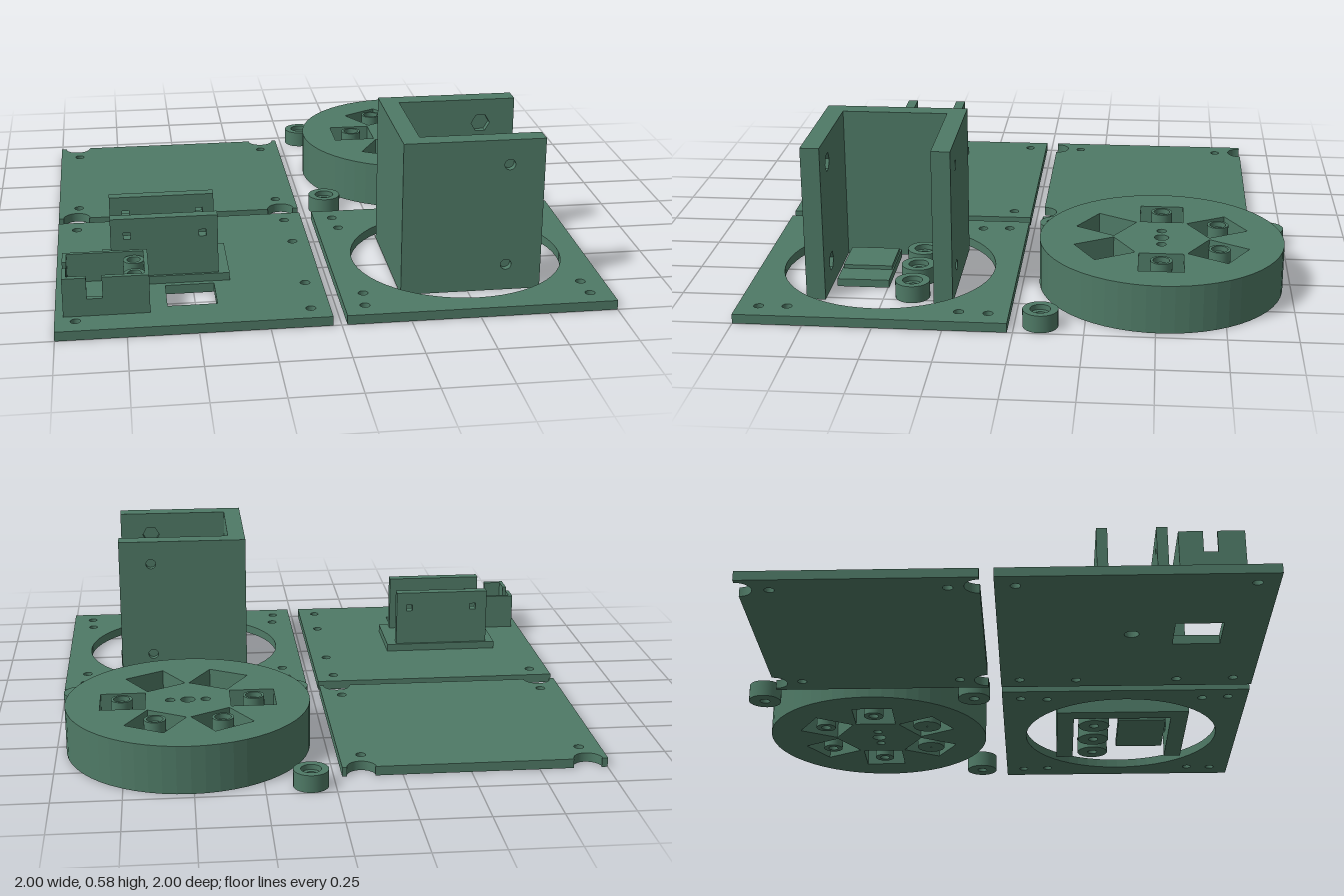
import * as THREE from 'three';

const green = new THREE.MeshStandardMaterial({ color: 0x4f7a66 });
green.name = 'green';

// Closed outlines
const rect = (x0, y0, x1, y1, C = THREE.Shape) => {
  const s = new C();
  s.moveTo(x0, y0); s.lineTo(x1, y0); s.lineTo(x1, y1); s.lineTo(x0, y1); s.closePath();
  return s;
};
const rectHole = (x0, y0, x1, y1) => rect(x0, y0, x1, y1, THREE.Path);
const circle = (x, y, r, C = THREE.Path) => {
  const s = new C();
  s.absarc(x, y, r, 0, Math.PI * 2, false);
  return s;
};
const poly = (pts, C = THREE.Shape) => new C().setFromPoints(pts.map(p => new THREE.Vector2(...p)));
const dots = (list, r) => list.map(([x, z]) => circle(x, z, r));

function extrude(shape, holes, depth) {
  shape.holes.push(...holes);
  return new THREE.ExtrudeGeometry(shape, { depth, bevelEnabled: false, curveSegments: 28 });
}

export function createModel() {
  const model = new THREE.Group();
  const add = (name, geo, parent = model) => {
    const m = new THREE.Mesh(geo, green);
    m.name = name;
    parent.add(m);
    return m;
  };
  const group = name => {
    const g = new THREE.Group();
    g.name = name;
    model.add(g);
    return g;
  };
  // Horizontal slab: outline in (x, z), from y0 up to y1
  const slab = (name, shape, holes, y0, y1, parent) =>
    add(name, extrude(shape, holes, y1 - y0).rotateX(Math.PI / 2).translate(0, y1, 0), parent);
  // Upright panel: outline in (x, y), from z0 to z1
  const panel = (name, shape, holes, z0, z1, parent) =>
    add(name, extrude(shape, holes, z1 - z0).translate(0, 0, z0), parent);
  // Lathed ring with a counterbored top
  const ring = (name, x, z, y0, y1, r, bore, hole, parent) => {
    const step = y1 - 0.02;
    const pts = [[hole, y0], [r, y0], [r, y1], [bore, y1], [bore, step], [hole, step], [hole, y0]];
    // split each segment so the edges stay sharp
    const g = new THREE.Group();
    g.name = name;
    for (let i = 0; i < pts.length - 1; i++) {
      const seg = [pts[i], pts[i + 1]].map(p => new THREE.Vector2(...p));
      add('ringFace', new THREE.LatheGeometry(seg, 32), g);
    }
    g.position.set(x, 0, z);
    (parent || model).add(g);
  };

  const T = 0.035;

  // Cover plate with round corner notches
  const cover = new THREE.Shape();
  const [l, r, b, f] = [-1, -0.03, -0.87, -0.03];
  cover.moveTo(l, b);
  for (const x of [-0.928, -0.1]) {
    cover.lineTo(x - 0.05, b);
    cover.absarc(x, b, 0.053, Math.PI, 0, true);
  }
  cover.lineTo(r, b);
  cover.lineTo(r, f);
  for (const x of [-0.1, -0.928]) {
    cover.lineTo(x + 0.05, f);
    cover.absarc(x, f, 0.053, 0, Math.PI, true);
  }
  cover.lineTo(l, f);
  slab('coverPlate', cover,
    dots([[-0.92, -0.757], [-0.11, -0.757], [-0.92, -0.14], [-0.11, -0.14]], 0.018), 0, T);

  // Mounting plate with bracket and open tray
  const mount = group('mountingPlate');
  slab('plate', rect(-1, 0.02, -0.03, 1), [
    ...dots([[-0.927, 0.093], [-0.1, 0.093], [-0.093, 0.313], [-0.093, 0.703],
      [-0.927, 0.922], [-0.1, 0.922]], 0.018),
    circle(-0.515, 0.51, 0.027),
    rectHole(-0.603, 0.665, -0.425, 0.84)], 0, T, mount);
  slab('bracketBase', rect(-0.83, 0.37, -0.365, 0.645),
    [rectHole(-0.765, 0.42, -0.43, 0.595)], T, 0.065, mount);
  slab('bracketFloor', rect(-0.765, 0.42, -0.43, 0.595),
    [circle(-0.515, 0.51, 0.027)], T, 0.055, mount);
  for (const z of [0.38, 0.595]) {
    panel('bracketWall', rect(-0.795, 0.065, -0.405, 0.292),
      [-0.735, -0.46].map(x => rectHole(x - 0.013, 0.212, x + 0.013, 0.238)), z, z + 0.04, mount);
  }

  // Tray: floor, walls with cable notches, screw posts
  const tray = group('tray');
  slab('trayFloor', rect(-0.955, 0.67, -0.68, 0.865),
    dots([[-0.927, 0.713], [-0.778, 0.713], [-0.927, 0.827], [-0.778, 0.827]], 0.011), T, 0.07, tray);
  const notched = (a0, a1, n0, n1) => poly([[a0, T], [a1, T], [a1, 0.18], [n1, 0.18],
    [n1, 0.1], [n0, 0.1], [n0, 0.18], [a0, 0.18]]);
  panel('trayFrontWall', notched(-0.97, -0.665, -0.885, -0.83), [], 0.865, 0.885, tray);
  panel('trayBackWall', rect(-0.97, T, -0.665, 0.18), [], 0.655, 0.67, tray);
  panel('trayRightWall', rect(0.67, T, 0.865, 0.18), [], 0, 0.015, tray)
    .geometry.rotateY(-Math.PI / 2).translate(-0.665, 0, 0);
  panel('traySideWall', notched(0.67, 0.865, 0.74, 0.79), [], 0, 0.015, tray)
    .geometry.rotateY(-Math.PI / 2).translate(-0.955, 0, 0);
  for (const z of [0.71, 0.827]) ring('screwPost', -0.715, z, T, 0.165, 0.038, 0.024, 0.014, tray);

  // Ring plate with a large round opening
  const corners = [];
  for (const [x, zs] of [[0.094, [0.094, 0.922]], [0.104, [0.2, 0.82]],
    [0.914, [0.2, 0.82]], [0.92, [0.094, 0.922]]]) for (const z of zs) corners.push([x, z]);
  slab('ringPlate', rect(0.02, 0.02, 1, 1),
    [circle(0.51, 0.51, 0.4), ...dots(corners, 0.018)], 0, T);

  // U-shaped housing; arms have round recesses outside and hex recesses inside
  const housing = group('housing');
  const H = 0.585;
  panel('housingBack', rect(0.25, 0, 0.32, H), [], 0.24, 0.78, housing);
  const ys = [0.1, 0.49];
  const round = () => ys.map(y => circle(0.64, y, 0.02));
  const hex = () => ys.map(y => poly(Array.from({ length: 6 }, (_, i) =>
    [0.64 + 0.036 * Math.cos(i * Math.PI / 3), y + 0.036 * Math.sin(i * Math.PI / 3)]), THREE.Path));
  const arm = () => rect(0.32, 0, 0.77, H);
  panel('armOuter', arm(), round(), 0.755, 0.78, housing);
  panel('armCore', arm(), [], 0.735, 0.755, housing);
  panel('armInner', arm(), hex(), 0.71, 0.735, housing);
  panel('armInner', arm(), hex(), 0.285, 0.31, housing);
  panel('armCore', arm(), [], 0.265, 0.285, housing);
  panel('armOuter', arm(), round(), 0.24, 0.265, housing);

  // Small stepped block and loose spacers
  slab('block', rect(0.34, 0.495, 0.645, 0.69), [], 0, 0.03);
  slab('blockStep', rect(0.365, 0.5, 0.543, 0.685), [], 0.03, 0.045);
  for (const [x, z] of [[0.404, 0.395], [0.559, 0.395], [0.714, 0.395],
    [0.088, -0.936], [0.088, -0.093], [0.932, -0.093]]) {
    ring('spacer', x, z, 0, 0.065, 0.064, 0.037, 0.02);
  }

  // Carousel disc with six square pockets and the rings inside them
  const [cx, cz] = [0.51, -0.515];
  const disc = group('carousel');
  disc.position.set(cx, 0, cz);
  const pockets = [];
  for (let i = 0; i < 6; i++) {
    const a = i * Math.PI / 3, c = Math.cos(a), s = Math.sin(a);
    pockets.push(poly([[0.158, -0.082], [0.325, -0.082], [0.325, 0.082], [0.158, 0.082]]
      .map(([x, z]) => [x * c - z * s, x * s + z * c]), THREE.Path));
    const x = 0.245 * c, z = 0.245 * s;
    if (i === 1 || i === 2) ring('pocketSpacer', x, z, 0, 0.065, 0.057, 0.02, 0.004, disc);
    else ring('pocketRing', x, z, 0, 0.19, 0.04, 0.03, 0.02, disc);
  }
  slab('disc', circle(0, 0, 0.455, THREE.Shape), [...pockets, circle(0, 0, 0.027),
    ...dots([[-0.066, 0], [0.066, 0]], 0.018)], 0, 0.18, disc).geometry.computeBoundingSphere();

  return model;
}
